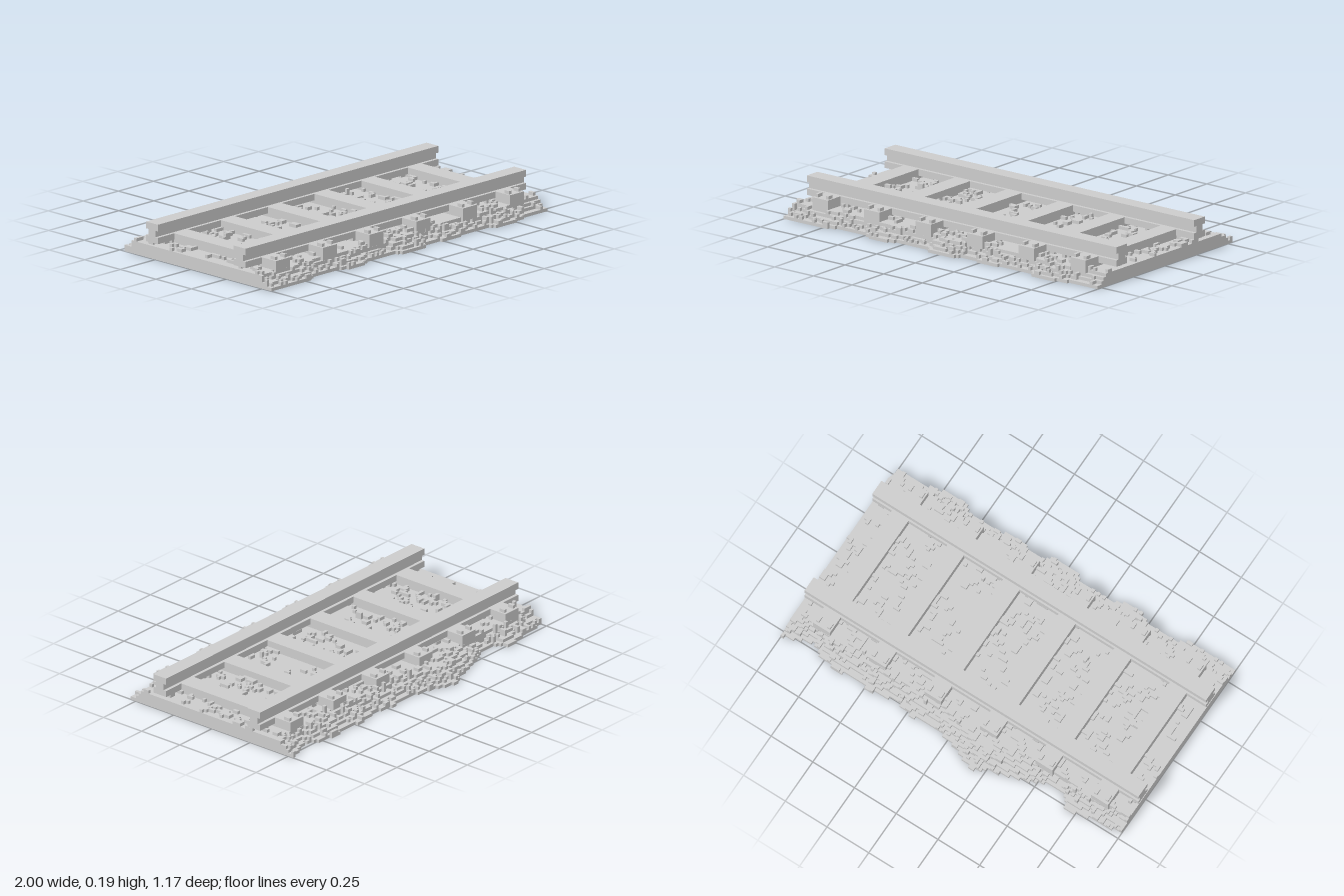
import * as THREE from 'three';
import { mergeGeometries } from 'three/addons/utils/BufferGeometryUtils.js';

const V = 1 / 60; // voxel size
const NX = 120, NZ = 72;
const material = new THREE.MeshStandardMaterial({ color: 0xcccccc, flatShading: true });

// Box given by its minimum and maximum corners
function block(x0, x1, y0, y1, z0, z1) {
  return new THREE.BoxGeometry(x1 - x0, y1 - y0, z1 - z0)
    .translate((x0 + x1) / 2, (y0 + y1) / 2, (z0 + z1) / 2);
}

function part(name, boxes) {
  const mesh = new THREE.Mesh(mergeGeometries(boxes), material);
  mesh.name = name;
  return mesh;
}

function seeded(seed) {
  return () => {
    seed = (seed * 1664525 + 1013904223) >>> 0;
    return seed / 4294967296;
  };
}

// Linear interpolation through [x, z] points
function along(points, x) {
  let i = 1;
  while (i < points.length - 1 && points[i][0] < x) i++;
  const [a, b] = [points[i - 1], points[i]];
  return a[1] + (b[1] - a[1]) * (x - a[0]) / (b[0] - a[0]);
}

// Ragged outlines of the gravel bed
const frontEdge = [[-1, .56], [-.72, .56], [-.65, .53], [-.5, .53], [-.45, .56], [-.33, .56], [-.28, .535],
  [-.1, .535], [-.04, .575], [.08, .575], [.14, .53], [.2, .53], [.27, .55], [.34, .55], [.4, .53], [.57, .535],
  [.63, .575], [.72, .57], [.78, .55], [.87, .53], [1, .53]];
const backEdge = [[-1, .47], [-.82, .49], [-.7, .52], [-.64, .45], [-.52, .46], [-.45, .5], [-.33, .54],
  [-.24, .56], [-.2, .6], [-.15, .59], [-.08, .555], [0, .53], [.12, .51], [.22, .53], [.32, .5], [.48, .53],
  [.58, .51], [.65, .53], [.76, .52], [.84, .47], [.92, .5], [1, .535]];

function gravelBed() {
  const rand = seeded(11);
  const bed = Array.from({ length: NZ }, () => new Array(NX).fill(0));
  // Flat core with stepped, uneven shoulders
  for (let k = 0; k < NZ; k++) {
    const z = -0.6 + (k + 0.5) * V;
    for (let i = 0; i < NX; i++) {
      const x = -1 + (i + 0.5) * V;
      const reach = z > 0 ? along(frontEdge, x) : along(backEdge, x);
      const depth = (reach - Math.abs(z)) / V;
      const core = z > -0.4 && z < 0.467;
      if (core) bed[k][i] = 4;
      else if (depth > 0) {
        const noise = rand() < 0.2 ? 1 : rand() < 0.2 ? -1 : 0;
        bed[k][i] = THREE.MathUtils.clamp(Math.ceil(depth * 0.62) + noise, 1, 4);
      }
    }
  }
  // Loose stones, one to four voxels each
  for (let n = 0; n < 620; n++) {
    let i = Math.floor(rand() * NX), k = 9 + Math.floor(rand() * 55);
    const size = 1 + Math.floor(rand() * 3.5);
    const top = rand() < 0.03 ? 6 : 5;
    for (let s = 0; s < size; s++) {
      if (i >= 0 && i < NX && bed[k][i] === 4) bed[k][i] = top;
      if (rand() < 0.5) i += rand() < 0.5 ? 1 : -1;
      else k += rand() < 0.5 ? 1 : -1;
    }
  }
  // Each row becomes boxes, one per run of equal height
  const boxes = [];
  bed.forEach((row, k) => {
    const z = -0.6 + k * V;
    for (let i = 0; i < NX;) {
      let j = i + 1;
      while (j < NX && row[j] === row[i]) j++;
      if (row[i] > 0) boxes.push(block(-1 + i * V, -1 + j * V, 0, row[i] * V, z, z + V));
      i = j;
    }
  });
  return part('gravelBed', boxes);
}

// Rail with foot, narrow web and head
function rail(name, z) {
  const course = (half, y0, y1) => block(-1, 1, y0 * V, y1 * V, z - half * V, z + half * V);
  return part(name, [course(2.5, 5, 7), course(1.5, 7, 9), course(2.5, 9, 11.1)]);
}

// Sleeper with two bolts at each end
function sleeper(x) {
  const boxes = [block(x - 0.05, x + 0.05, 3 * V, 7 * V, -0.415, 0.483)];
  for (const side of [-1, 1]) {
    for (const dx of [-2, 2]) {
      const z = 0.034 + side * 0.418, bx = x + dx * V;
      boxes.push(block(bx - V / 2, bx + V / 2, 7 * V, 8 * V, z - V, z + V));
    }
  }
  return part('sleeper', boxes);
}

export function createModel() {
  const model = new THREE.Group();
  model.name = 'railwayTrack';
  model.add(gravelBed(), rail('frontRail', 0.342), rail('backRail', -0.274));
  for (let n = 0; n < 6; n++) model.add(sleeper((n - 2.5) / 3));
  return model;
}
